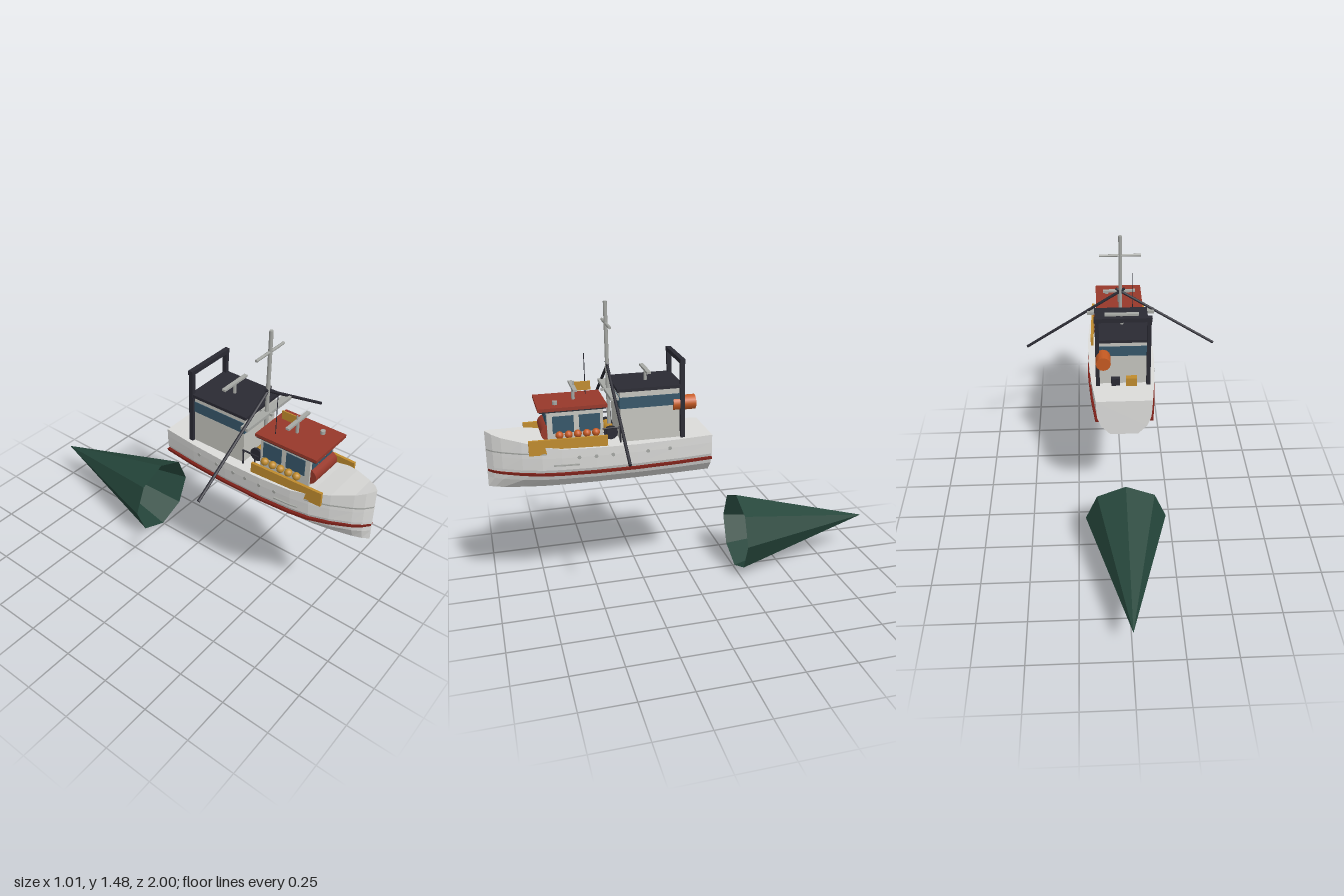
import * as THREE from 'three';

const mat = (name, color, extra = {}) => Object.assign(new THREE.MeshStandardMaterial({ color, ...extra }), { name });

export function createModel() {
  const hullWhite = mat('hull white', 0xdcdcda, { flatShading: true });
  const cabinGrey = mat('cabin grey', 0xc4c4be);
  const metal = mat('metal grey', 0xa6a8a4);
  const red = mat('roof red', 0x97382a);
  const darkRed = mat('stripe red', 0x7c2018);
  const orange = mat('float orange', 0xc65a22);
  const yellow = mat('board yellow', 0xc08c2e);
  const glass = mat('window blue', 0x36566a);
  const dark = mat('dark steel', 0x2a2a33);
  const netGreen = mat('net green', 0x25463b, { flatShading: true, side: THREE.DoubleSide });

  const model = new THREE.Group();
  const add = (name, geo, material, x = 0, y = 0, z = 0) => {
    const m = new THREE.Mesh(geo, material);
    m.name = name;
    m.position.set(x, y, z);
    model.add(m);
    return m;
  };
  // Box given by its extents on each axis
  const box = (name, material, [x0, x1], [y0, y1], [z0, z1]) =>
    add(name, new THREE.BoxGeometry(x1 - x0, y1 - y0, z1 - z0), material, (x0 + x1) / 2, (y0 + y1) / 2, (z0 + z1) / 2);
  // Cylinder between two points
  const rod = (name, material, a, b, r, sides = 8) => {
    const p = new THREE.Vector3(...a), q = new THREE.Vector3(...b);
    const m = add(name, new THREE.CylinderGeometry(r, r, p.distanceTo(q), sides), material);
    m.position.copy(p).add(q).multiplyScalar(0.5);
    m.quaternion.setFromUnitVectors(new THREE.Vector3(0, 1, 0), q.sub(p).normalize());
    return m;
  };

  // Hull stations: z, half width, sheer height
  const stations = [
    [-0.08, 0.142, 0.82], [0.1, 0.162, 0.82], [0.3, 0.174, 0.82], [0.5, 0.174, 0.822], [0.66, 0.163, 0.825],
    [0.75, 0.148, 0.84], [0.84, 0.115, 0.86], [0.93, 0.068, 0.875], [0.97, 0.038, 0.886], [1, 0.001, 0.895],
  ];
  const halfWidth = (z) => {
    const k = Math.max(1, stations.findIndex((s) => s[0] >= z));
    const [a, b] = [stations[k - 1], stations[k]];
    return a[1] + ((b[1] - a[1]) * (z - a[0])) / (b[0] - a[0]);
  };
  const profile = [[0.99, 0.78], [0.96, 0.72], [0.82, 0.665], [0.5, 0.615]];
  const pos = [], index = [], n = 2 * (profile.length + 1);
  stations.forEach(([z, w, top], k) => {
    const side = [[1, top], ...profile].map(([f, y]) => [f * w, y]);
    const ring = [...side, ...side.slice().reverse().map(([x, y]) => [-x, y])];
    ring.forEach(([x, y], i) => {
      pos.push(x, y, z);
      if (k === stations.length - 1) return;
      const a = k * n + i, b = k * n + ((i + 1) % n);
      index.push(a, b + n, b, a, a + n, b + n);
    });
  });
  for (let i = 1; i < n - 1; i++) index.push(0, i, i + 1);
  const hull = new THREE.BufferGeometry();
  hull.setAttribute('position', new THREE.Float32BufferAttribute(pos, 3));
  hull.setIndex(index);
  const hullFlat = hull.toNonIndexed();
  hullFlat.computeVertexNormals();
  add('hull', hullFlat, hullWhite);

  // Belts that follow the hull outline
  const belt = (name, material, y, h, z0, z1, out) => {
    const zs = [z0, ...stations.map((s) => s[0]).filter((z) => z > z0 && z < z1), z1];
    const right = zs.map((z) => new THREE.Vector2(halfWidth(z) + out, z));
    const left = right.map((p) => new THREE.Vector2(-p.x, p.y)).reverse();
    const geo = new THREE.ExtrudeGeometry(new THREE.Shape([...right, ...left]), { depth: h, bevelEnabled: false });
    add(name, geo.rotateX(Math.PI / 2), material, 0, y + h / 2, 0);
  };
  belt('waterlineStripe', darkRed, 0.7, 0.011, -0.079, 0.998, 0.004);
  belt('bowRubRail', metal, 0.803, 0.006, 0.73, 0.998, 0.003);
  belt('sideRubRail', metal, 0.745, 0.006, 0.58, 0.7, 0.004);

  // Wheelhouse with roof, windows and front hatch
  box('wheelhouse', cabinGrey, [-0.1, 0.1], [0.81, 0.998], [0.45, 0.715]);
  box('wheelhouseRoofTrim', dark, [-0.12, 0.12], [0.993, 1.0], [0.438, 0.75]);
  box('wheelhouseRoof', red, [-0.125, 0.125], [1.0, 1.016], [0.432, 0.757]);
  for (const x of [-0.058, 0, 0.058]) box('frontWindow', glass, [x - 0.026, x + 0.026], [0.9, 0.97], [0.714, 0.718]);
  for (const s of [-1, 1])
    for (const z of [0.515, 0.64]) {
      const x = s * 0.101;
      box('sideWindow', glass, [x - 0.002, x + 0.002], [0.885, 0.968], [z - 0.05, z + 0.05]);
    }
  rod('frontHatch', red, [-0.09, 0.885, 0.705], [0.09, 0.885, 0.705], 0.04, 16);

  // Side boards, floats, scuppers and rails
  for (const s of [-1, 1]) {
    const board = box('sideBoard', yellow, [-0.007, 0.007], [0.8, 0.872], [0.44, 0.81]);
    board.position.x = s * 0.147;
    board.rotation.y = -s * 0.03;
    for (let i = 0; i < 5; i++)
      add('float', new THREE.SphereGeometry(0.019, 12, 8), s > 0 ? orange : yellow, s * 0.122, 0.882, 0.49 + i * 0.043);
    for (const z of [0.14, 0.25, 0.35, 0.42, 0.5, 0.58]) {
      const x = s * halfWidth(z) * 0.99;
      rod('scupper', metal, [x - 0.004, 0.78, z], [x + 0.004, 0.78, z], 0.009);
    }
    rod('deckRail', dark, [s * 0.13, 0.897, 0.37], [s * 0.13, 0.897, 0.46], 0.004);
    for (const z of [0.375, 0.44]) rod('railPost', dark, [s * 0.13, 0.81, z], [s * 0.13, 0.897, z], 0.004);
  }

  // Winch between the cabins
  rod('winchDrum', yellow, [-0.07, 0.855, 0.41], [0.07, 0.855, 0.41], 0.025, 12);
  for (const x of [-0.07, 0.07]) rod('winchEnd', dark, [x - 0.006, 0.855, 0.41], [x + 0.006, 0.855, 0.41], 0.034, 12);

  // Aft cabin with wraparound window band
  box('aftCabin', cabinGrey, [-0.122, 0.122], [0.81, 1.072], [0.08, 0.37]);
  box('aftWindowBand', glass, [-0.125, 0.125], [0.985, 1.04], [0.077, 0.373]);
  box('aftRoof', dark, [-0.137, 0.137], [1.07, 1.085], [0.062, 0.385]);
  box('yellowLocker', yellow, [-0.07, -0.015], [0.82, 0.865], [0.05, 0.082]);
  box('darkLocker', dark, [0.015, 0.06], [0.82, 0.86], [0.055, 0.082]);

  // Stern gantry and hanging drum
  for (const x of [-0.128, 0.128]) box('gantryPost', dark, [x - 0.01, x + 0.01], [0.815, 1.2], [0.057, 0.079]);
  box('gantryBeam', dark, [-0.142, 0.142], [1.188, 1.21], [0.056, 0.08]);
  rod('orangeDrum', orange, [0.1, 0.987, 0], [0.1, 0.987, 0.112], 0.037, 12);

  // Mast, spreader and outrigger booms
  rod('mast', metal, [0, 0.81, 0.405], [0, 1.477, 0.405], 0.0095, 10);
  rod('mastCrossbar', metal, [-0.105, 1.372, 0.405], [0.105, 1.372, 0.405], 0.007);
  box('spreader', metal, [-0.175, 0.175], [1.045, 1.06], [0.385, 0.425]);
  box('spreaderArm', metal, [-0.006, 0.006], [1.047, 1.058], [0.36, 0.44]);
  for (const s of [-1, 1]) rod('outrigger', dark, [-s * 0.022, 1.185, 0.405], [s * 0.5, 0.847, 0.405], 0.0075);

  // Radars, flag and aerial
  for (const [z, y0, y1] of [[0.575, 1.01, 1.075], [0.22, 1.08, 1.135]]) {
    rod('radarPost', metal, [0, y0, z], [0, y1, z], 0.008);
    box('radarBar', metal, [-0.087, 0.087], [y1, y1 + 0.01], [z - 0.01, z + 0.01]);
  }
  rod('flagPole', metal, [0, 1.01, 0.57], [0, 1.105, 0.57], 0.004);
  box('flag', yellow, [-0.003, 0.003], [1.057, 1.1], [0.49, 0.567]);
  rod('aerial', dark, [-0.07, 1.01, 0.505], [-0.07, 1.22, 0.505], 0.002, 6);
  rod('roofLamp', metal, [0.065, 1.01, 0.67], [0.065, 1.033, 0.67], 0.012, 10);

  // Trawl net: open eight-sided cone trailing astern
  add('net', new THREE.ConeGeometry(0.208, 0.74, 8, 1, true).rotateX(-Math.PI / 2), netGreen, 0, 0.208, -0.63);

  return model;
}
